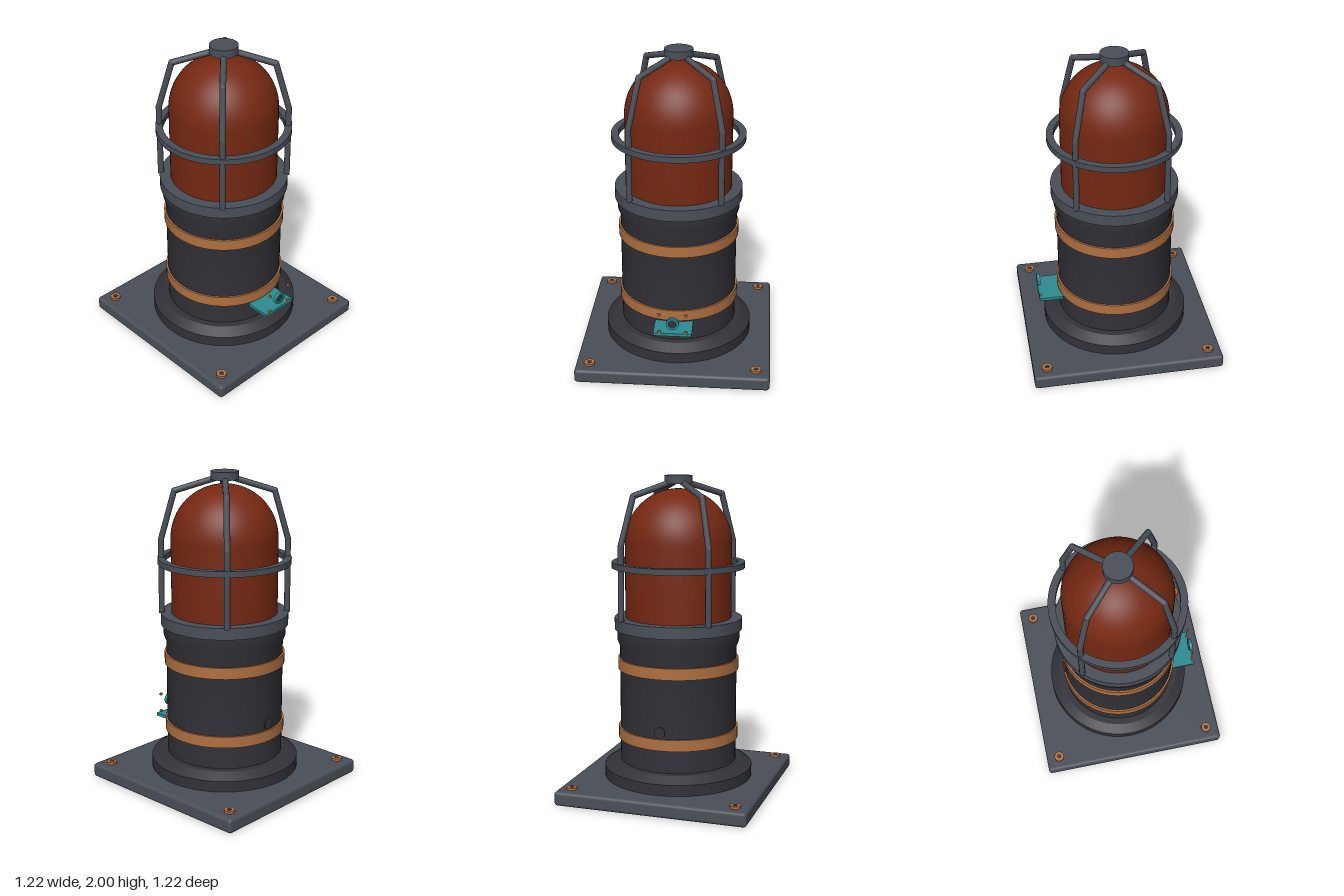
import * as THREE from 'three';
import { toCreasedNormals } from 'three/addons/utils/BufferGeometryUtils.js';
import { RoundedBoxGeometry } from 'three/addons/geometries/RoundedBoxGeometry.js';

const material = (name, color) => {
  const m = new THREE.MeshStandardMaterial({ color });
  m.name = name;
  return m;
};

export function createModel() {
  const steel = material('steel grey', 0x4a4f58);
  const iron = material('dark iron', 0x333239);
  const copper = material('copper', 0xb07040);
  const amber = material('red amber glass', 0x752812);
  const teal = material('teal', 0x2d8c91);

  const model = new THREE.Group();
  model.name = 'beaconLamp';

  const add = (name, geometry, mat, x = 0, y = 0, z = 0, parent = model) => {
    const mesh = new THREE.Mesh(geometry, mat);
    mesh.name = name;
    mesh.position.set(x, y, z);
    parent.add(mesh);
    return mesh;
  };
  // Turned profile of [radius, y] points, listed from bottom to top
  const turned = (points, crease = 0.4) => toCreasedNormals(
    new THREE.LatheGeometry(points.map(([r, y]) => new THREE.Vector2(r, y)), 64), crease);
  // Rectangular ring around the y axis
  const band = (inner, outer, y0, y1) =>
    turned([[inner, y0], [outer, y0], [outer, y1], [inner, y1], [inner, y0]]);
  const disc = (r, h, sides = 24) => new THREE.CylinderGeometry(r, r, h, sides);

  // Base plate with four socket bolts
  add('basePlate', new RoundedBoxGeometry(1.22, 0.09, 1.22, 3, 0.02), steel, 0, 0.045, 0);
  for (const sx of [-1, 1]) for (const sz of [-1, 1]) {
    add('baseBolt', disc(0.033, 0.025), copper, sx * 0.523, 0.0925, sz * 0.523);
    add('boltSocket', disc(0.016, 0.004, 6), iron, sx * 0.523, 0.1045, sz * 0.523);
  }

  // Body with chamfered foot and flared neck
  add('body', turned([
    [0, 0.085], [0.473, 0.085], [0.473, 0.16], [0.413, 0.2], [0.37, 0.2],
    [0.37, 0.935], [0.386, 0.975], [0.386, 1.05], [0, 1.05],
  ]), iron);
  add('lowerBand', band(0.365, 0.382, 0.343, 0.415), copper);
  add('upperBand', band(0.365, 0.382, 0.79, 0.862), copper);
  add('collar', turned([[0, 1.045], [0.402, 1.045], [0.402, 1.118], [0, 1.118]]), steel);

  // Cable plug on the back
  add('backPlug', disc(0.035, 0.03), iron, 0, 0.455, -0.362).rotation.x = Math.PI / 2;

  // Glass dome: straight wall closed by a hemisphere
  const dome = [[0.334, 1.11]];
  for (let i = 0; i <= 20; i++) {
    const a = (i / 20) * Math.PI / 2;
    dome.push([i === 20 ? 0 : 0.334 * Math.cos(a), 1.586 + 0.334 * Math.sin(a)]);
  }
  add('dome', turned(dome, 1), amber);

  // Guard cage: four bent bars, a hoop and a top hub
  const cage = new THREE.Group();
  cage.name = 'guardCage';
  model.add(cage);
  const path = [[0.395, 1.11], [0.393, 1.58], [0.308, 1.88], [0.03, 1.965]]
    .map(([r, y]) => new THREE.Vector3(r, y, 0));
  const up = new THREE.Vector3(0, 1, 0);
  for (let k = 0; k < 4; k++) {
    const bar = new THREE.Group();
    bar.name = 'cageBar';
    bar.rotation.y = Math.PI / 4 + k * Math.PI / 2;
    cage.add(bar);
    for (let i = 0; i < 3; i++) {
      const a = path[i], b = path[i + 1];
      const dir = b.clone().sub(a);
      const mid = a.clone().add(b).multiplyScalar(0.5);
      const rod = add('barSection', disc(0.019, dir.length(), 10), steel, mid.x, mid.y, 0, bar);
      rod.quaternion.setFromUnitVectors(up, dir.normalize());
      if (i) add('barBend', new THREE.SphereGeometry(0.019, 10, 8), steel, a.x, a.y, 0, bar);
    }
  }
  add('cageHoop', band(0.372, 0.417, 1.432, 1.469), steel, 0, 0, 0, cage);
  add('cageHub', disc(0.087, 0.05, 32), steel, 0, 1.975, 0, cage);

  // Front bracket: shelf, ringed eye and small screws
  const bracket = new THREE.Group();
  bracket.name = 'frontBracket';
  model.add(bracket);
  add('shelf', new THREE.BoxGeometry(0.24, 0.02, 0.155), teal, 0, 0.321, 0.436, bracket);
  const eye = add('eyeRing', band(0.025, 0.04, -0.011, 0.011), teal, 0, 0.4, 0.508, bracket);
  eye.rotation.x = Math.PI / 2;
  add('eyeCentre', disc(0.027, 0.008), iron, 0, 0.4, 0.507, bracket).rotation.x = Math.PI / 2;
  for (const x of [-0.083, 0.083]) for (const y of [0.337, 0.457]) {
    add('bracketScrew', disc(0.01, 0.012, 12), copper, x, y, 0.507, bracket).rotation.x = Math.PI / 2;
  }

  return model;
}
